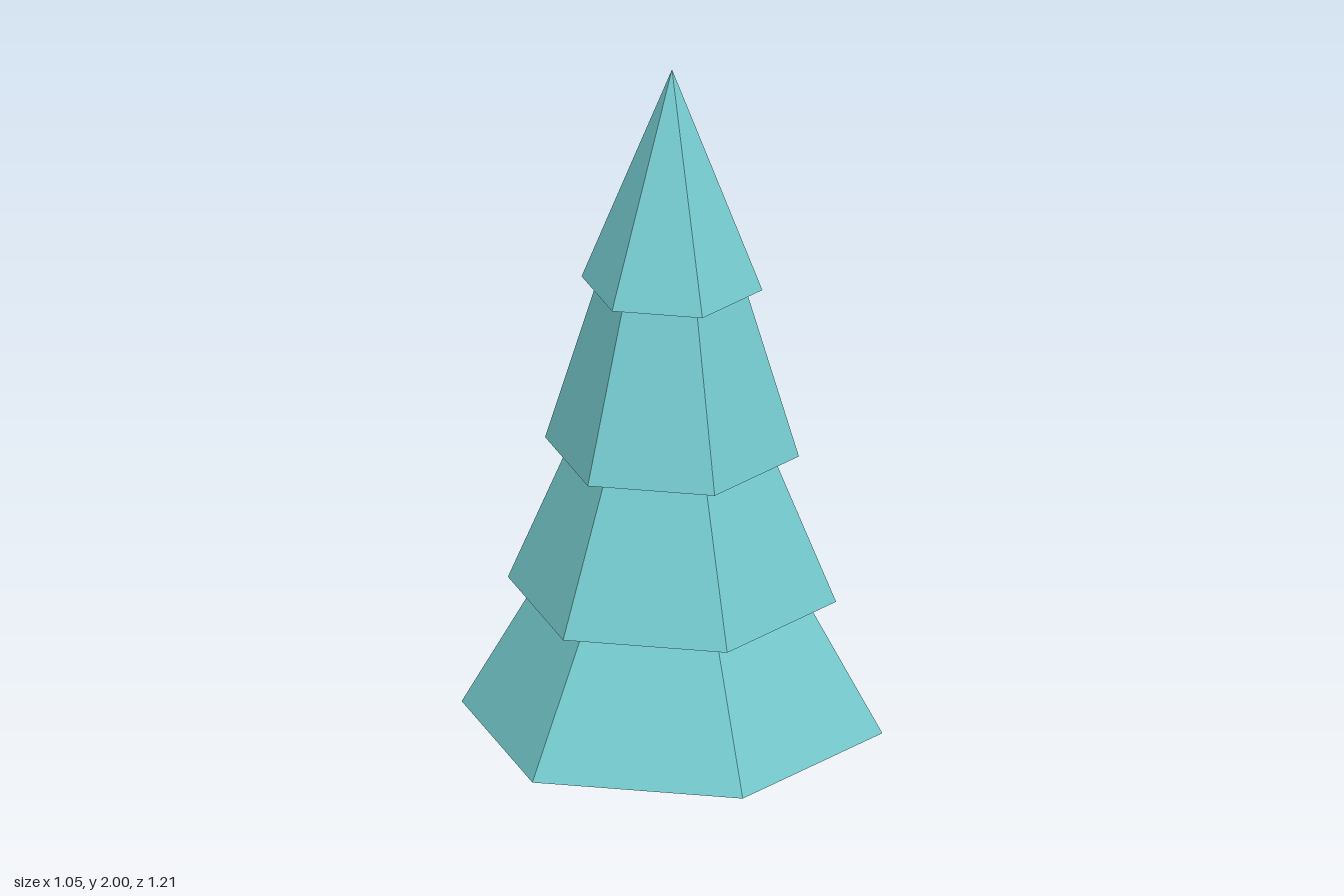
import * as THREE from 'three';

export function createModel() {
  const tree = new THREE.Group();
  tree.name = 'tree';

  const foliage = new THREE.MeshStandardMaterial({ color: 0x76ccd0, flatShading: true });
  foliage.name = 'teal foliage';

  // Six-sided tiers, bottom to top, each overhanging the one below
  const tiers = [
    { name: 'bottomTier', y0: 0, y1: 0.395, base: 0.605, top: 0.385 },
    { name: 'lowerMiddleTier', y0: 0.395, y1: 0.835, base: 0.472, top: 0.289 },
    { name: 'upperMiddleTier', y0: 0.835, y1: 1.34, base: 0.365, top: 0.212 },
    { name: 'topTier', y0: 1.34, y1: 2, base: 0.26, top: 0 },
  ];

  for (const { name, y0, y1, base, top } of tiers) {
    const tier = new THREE.Mesh(new THREE.CylinderGeometry(top, base, y1 - y0, 6), foliage);
    tier.name = name;
    tier.position.y = (y0 + y1) / 2;
    tree.add(tier);
  }

  return tree;
}
